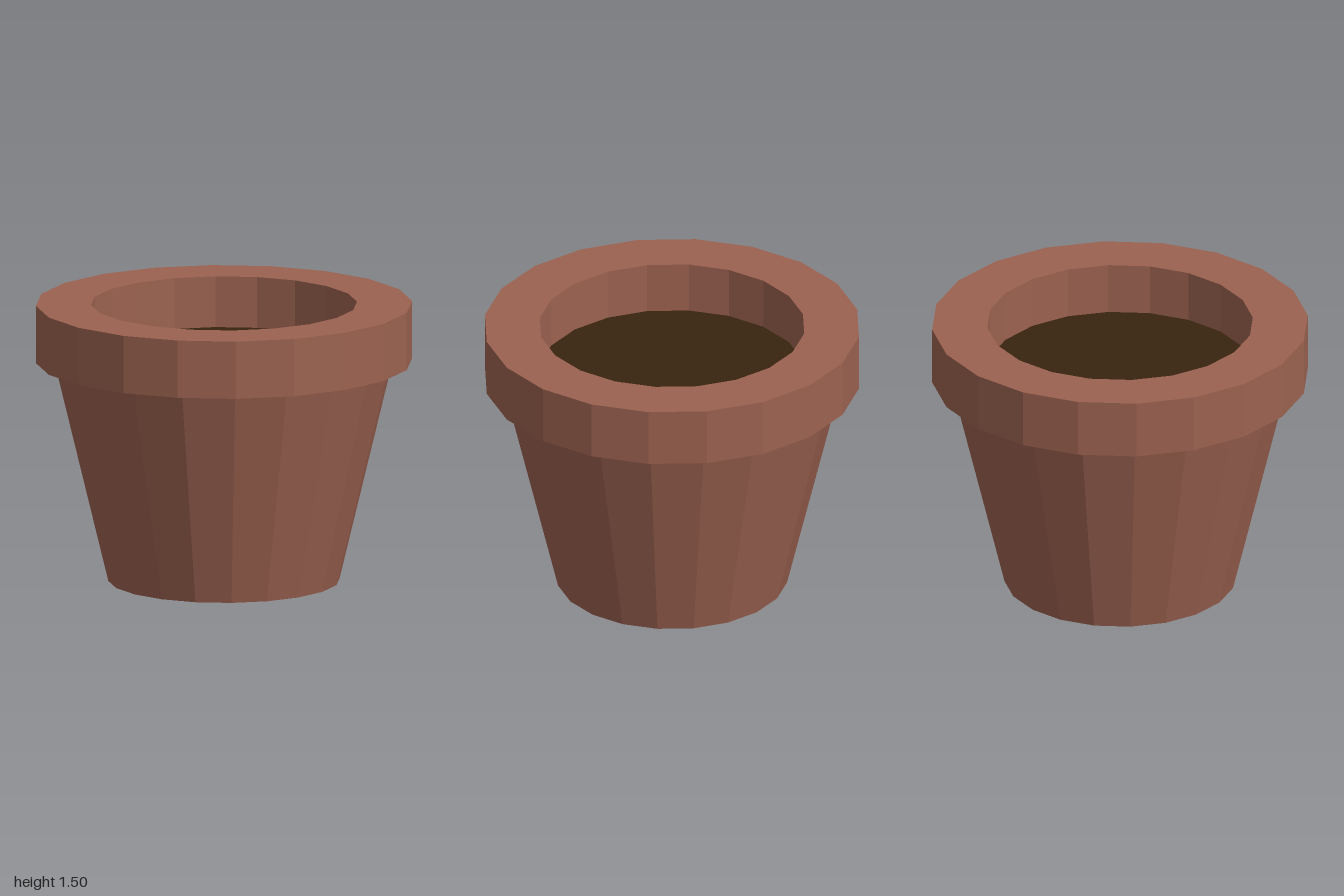
import * as THREE from 'three';

const SIDES = 20;

export function createModel() {
  const terracotta = new THREE.MeshStandardMaterial({ color: 0x9c6250, flatShading: true });
  terracotta.name = 'terracotta';
  const earth = new THREE.MeshStandardMaterial({ color: 0x38240f, flatShading: true });
  earth.name = 'earth';

  const model = new THREE.Group();
  model.name = 'flowerPot';

  // Turn a profile of [radius, height] pairs, listed so that faces point outward
  const turn = (name, profile, material) => {
    const points = profile.map(([r, y]) => new THREE.Vector2(r, y));
    const mesh = new THREE.Mesh(new THREE.LatheGeometry(points, SIDES), material);
    mesh.name = name;
    model.add(mesh);
  };

  // Tapered body with a closed base
  turn('body', [[0, 0], [0.615, 0], [0.9, 1.185]], terracotta);

  // Thick overhanging collar: underside, outer wall, top, inner wall
  turn('rim', [[0.9, 1.185], [1, 1.185], [1, 1.495], [0.707, 1.495], [0.707, 1.185]], terracotta);

  // Soil surface inside the collar
  turn('soil', [[0.707, 1.22], [0, 1.22]], earth);

  return model;
}
